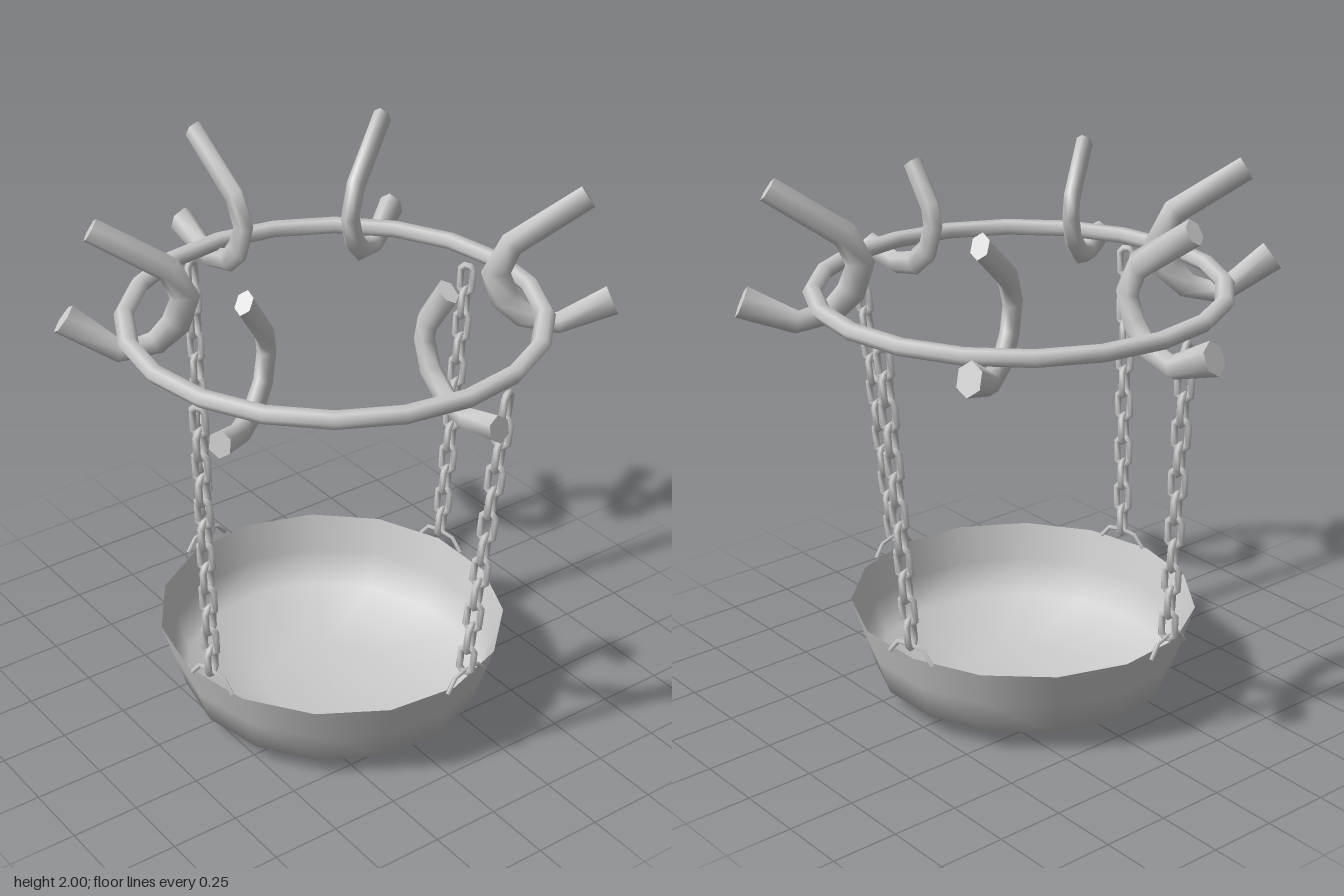
import * as THREE from 'three';

const grey = new THREE.MeshStandardMaterial({ color: 0xcccccc });
const greyDouble = new THREE.MeshStandardMaterial({ color: 0xcccccc, side: THREE.DoubleSide });

function add(parent, name, geometry, material = grey) {
  const mesh = new THREE.Mesh(geometry, material);
  mesh.name = name;
  parent.add(mesh);
  return mesh;
}

// Sweeps an oval along a flat path; each point is [x, y, half width in plane, half width across]
function sweep(path, sides = 6) {
  const pos = [], index = [], last = path.length - 1;
  const ring = (i) => {
    const [x, y, w, d] = path[i];
    const a = path[Math.max(i - 1, 0)], b = path[Math.min(i + 1, last)];
    const t = new THREE.Vector2(b[0] - a[0], b[1] - a[1]).normalize();
    for (let j = 0; j < sides; j++) {
      const u = (j / sides) * Math.PI * 2, c = Math.cos(u) * w;
      pos.push(x - t.y * c, y + t.x * c, Math.sin(u) * d);
    }
  };
  path.forEach((_, i) => ring(i));
  for (let i = 0; i < last; i++) {
    for (let j = 0; j < sides; j++) {
      const k = (j + 1) % sides, a = i * sides, b = a + sides;
      index.push(a + j, a + k, b + j, a + k, b + k, b + j);
    }
  }
  // end caps on their own vertices so the rims stay sharp
  for (const end of [0, last]) {
    const s = pos.length / 3;
    ring(end);
    for (let j = 1; j < sides - 1; j++) {
      if (end) index.push(s, s + j, s + j + 1);
      else index.push(s, s + j + 1, s + j);
    }
  }
  const g = new THREE.BufferGeometry();
  g.setAttribute('position', new THREE.Float32BufferAttribute(pos, 3));
  g.setIndex(index);
  g.computeVertexNormals();
  return g;
}

// Hook leaning outwards, with the height of its two tips
const wideHook = (tipY, endY) => sweep([
  [0.355, tipY, 0.046, 0.032], [0.1, 1.785, 0.048, 0.032], [0.05, 1.68, 0.052, 0.03], [0.085, 1.58, 0.052, 0.03],
  [0.155, 1.51, 0.045, 0.032], [0.275, 1.478, 0.042, 0.035], [0.462, endY, 0.06, 0.045]
]);

// Hook standing upright, with the position of its upper tip
const uprightHook = (tipX, tipY) => sweep([
  [tipX, tipY, 0.046, 0.03], [0.06, 1.74, 0.046, 0.03], [0.045, 1.67, 0.046, 0.03], [0.08, 1.57, 0.048, 0.03],
  [0.165, 1.5, 0.045, 0.032], [0.275, 1.475, 0.042, 0.035], [0.435, 1.51, 0.048, 0.042]
]);

export function createModel() {
  const model = new THREE.Group();
  model.name = 'hangingBasket';

  // Open bowl
  const bowlProfile = [[0, 0.002], [0.25, 0.005], [0.565, 0.075], [0.61, 0.21], [0.652, 0.345]]
    .map(([r, y]) => new THREE.Vector2(r, y));
  const bowl = add(model, 'bowl', new THREE.LatheGeometry(bowlProfile, 15), greyDouble);
  bowl.position.set(0.062, 0, 0.02);
  bowl.scale.z = 0.965;

  // Top ring
  const ring = add(model, 'ring', new THREE.TorusGeometry(0.724, 0.035, 6, 20).rotateX(Math.PI / 2));
  ring.position.set(0.053, 1.558, 0);
  ring.scale.y = 0.85;

  // Hooks in upright planes: inner x, inner z, outward x, outward z, shape, reach
  const hooks = [
    [0.49, -0.01, 1, 0, uprightHook(0.16, 1.885), 1],
    [-0.445, 0.005, -1, 0.01, wideHook(1.955, 1.56), 1],
    [0.29, -0.45, 0.27, -0.43, wideHook(1.955, 1.56), 1],
    [-0.31, -0.31, -0.26, -0.43, wideHook(1.96, 1.56), 1],
    [-0.125, 0.43, -0.27, 0.42, wideHook(1.935, 1.61), 1],
    [0.285, 0.42, 0.2, 0.34, uprightHook(0.22, 1.915), 0.9]
  ];
  hooks.forEach(([x, z, dx, dz, shape, reach], i) => {
    const hook = add(model, `hook${i + 1}`, shape);
    hook.position.set(x, 0, z);
    hook.rotation.y = -Math.atan2(dz, dx);
    hook.scale.x = reach;
  });

  // Chain link: a small torus pulled apart into a long loop
  const link = new THREE.TorusGeometry(0.026, 0.0135, 5, 8).rotateZ(Math.PI / 8);
  const p = link.attributes.position;
  for (let i = 0; i < p.count; i++) p.setY(i, p.getY(i) + Math.sign(p.getY(i)) * 0.028);
  link.computeBoundingSphere();

  // Wire bracket standing on the bowl rim
  const bracket = sweep([
    [-0.1, 0.338, 0.009, 0.009], [-0.06, 0.385, 0.009, 0.009], [0, 0.393, 0.009, 0.009],
    [0.06, 0.385, 0.009, 0.009], [0.1, 0.338, 0.009, 0.009]
  ], 4);

  // Chains: x and z at the ring, x and z at the bowl
  const chains = [
    [-0.655, 0.13, -0.59, 0.145],
    [-0.045, -0.665, -0.055, -0.59],
    [0.25, 0.685, 0.18, 0.625],
    [0.765, -0.175, 0.7, -0.105]
  ];
  const count = 12;
  chains.forEach(([x1, z1, x2, z2], n) => {
    const chain = new THREE.Group();
    chain.name = `chain${n + 1}`;
    model.add(chain);
    const top = new THREE.Vector3(x1, 1.46, z1), bottom = new THREE.Vector3(x2, 0.435, z2);
    const lean = new THREE.Quaternion().setFromUnitVectors(new THREE.Vector3(0, 1, 0), top.clone().sub(bottom).normalize());
    const yaw = Math.atan2(x2 - 0.06, z2 - 0.02);
    for (let i = 0; i < count; i++) {
      const m = add(chain, 'link', link);
      m.position.lerpVectors(top, bottom, i / (count - 1));
      m.rotation.y = yaw + 0.3 + (i % 2) * Math.PI / 2;
      m.quaternion.premultiply(lean);
    }
    const b = add(model, `bracket${n + 1}`, bracket);
    b.position.set(x2, 0, z2);
    b.rotation.y = yaw;
  });

  return model;
}
